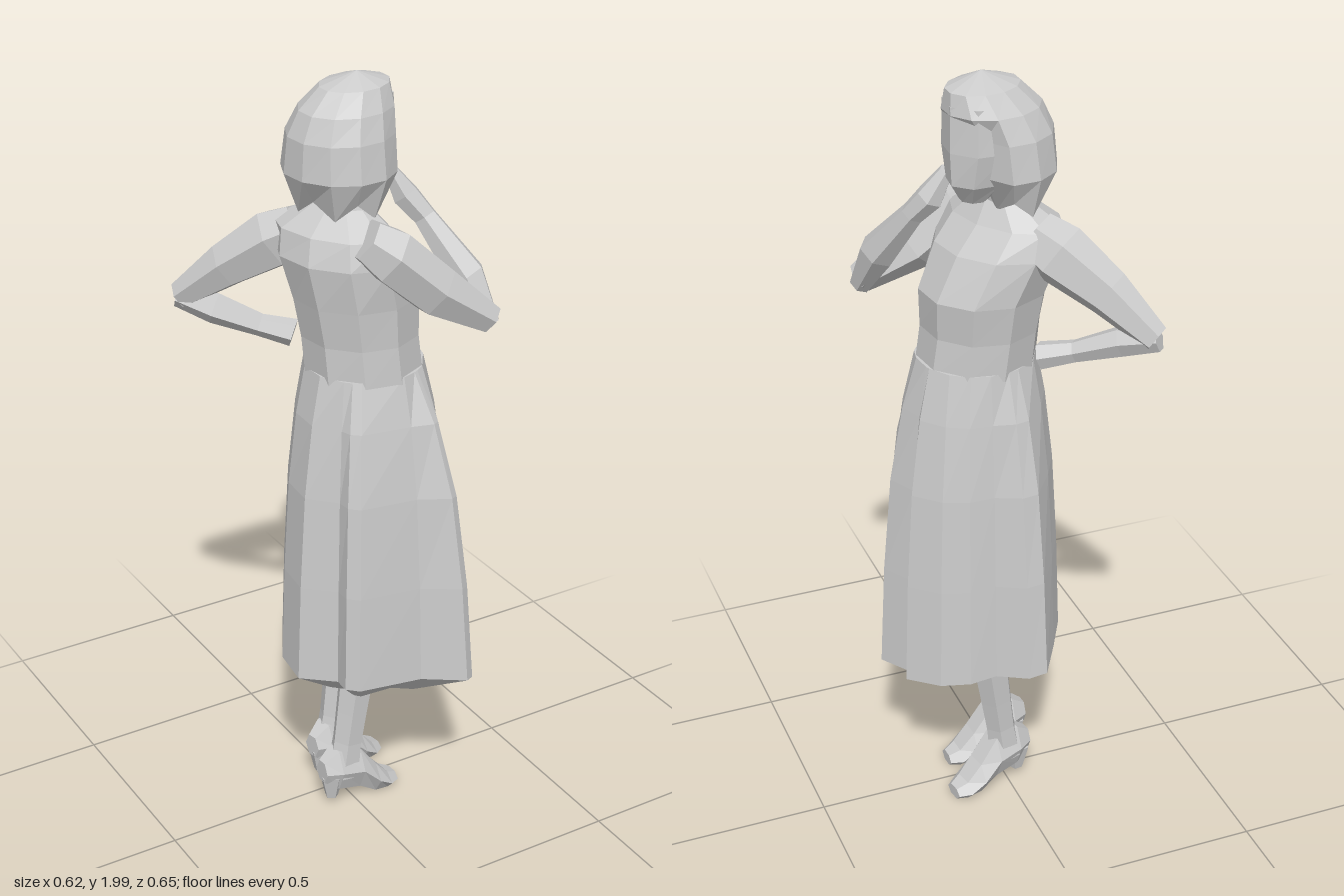
import * as THREE from 'three';

const material = new THREE.MeshStandardMaterial({ color: 0xcccccc, flatShading: true, side: THREE.DoubleSide });
const V = (x, y, z) => new THREE.Vector3(x, y, z);

// Skin a list of equal rings (counter-clockwise about the direction of travel), closing both ends
function loft(name, rings, startTip, endTip) {
  const n = rings[0].length, pos = [], index = [];
  const centre = r => r.reduce((s, p) => s.add(p), V(0, 0, 0)).divideScalar(n);
  const last = rings.length - 1;
  [...rings.flat(), startTip || centre(rings[0]), endTip || centre(rings[last])].forEach(p => pos.push(p.x, p.y, p.z));
  const s = n * rings.length, e = s + 1;
  for (let i = 0; i < n; i++) {
    const k = (i + 1) % n;
    for (let j = 0; j < last; j++) {
      const a = j * n + i, b = j * n + k;
      index.push(a, b, b + n, a, b + n, a + n);
    }
    index.push(s, k, i, e, last * n + i, last * n + k);
  }
  const g = new THREE.BufferGeometry();
  g.setAttribute('position', new THREE.Float32BufferAttribute(pos, 3));
  g.setIndex(index);
  const flat = g.toNonIndexed();
  flat.computeVertexNormals();
  const m = new THREE.Mesh(flat, material);
  m.name = name;
  return m;
}

// Horizontal ellipse: depth along the facing direction, width across it
function ellipse(y, cx, cz, depth, width, facing, n, shape = () => [1, 0]) {
  const c = Math.cos(facing), s = Math.sin(facing);
  return Array.from({ length: n }, (_, i) => {
    const t = i / n * Math.PI * 2, [k, dy] = shape(i);
    const f = depth * k * Math.cos(t), l = width * k * Math.sin(t);
    return V(cx + f * c - l * s, y + dy, cz - f * s - l * c);
  });
}

// Limb through points [x, y, z, radius]
function limb(name, pts, sides = 6) {
  const at = p => V(p[0], p[1], p[2]);
  const d = at(pts[pts.length - 1]).sub(at(pts[0])).normalize();
  const q = new THREE.Quaternion().setFromUnitVectors(V(0, 1, 0), d);
  const u = V(1, 0, 0).applyQuaternion(q), v = V(0, 0, -1).applyQuaternion(q);
  return loft(name, pts.map(p => Array.from({ length: sides }, (_, i) => {
    const t = i / sides * Math.PI * 2;
    return at(p).addScaledVector(u, p[3] * Math.cos(t)).addScaledVector(v, p[3] * Math.sin(t));
  })));
}

function makeSkirt() {
  // Pleated hem outline, x and z
  const hem = [[.31, .05], [.26, -.035], [.28, -.06], [.21, -.13], [.14, -.16], [.07, -.16], [0, -.21],
    [-.05, -.21], [-.11, -.11], [-.16, -.02], [-.175, .09], [-.1, .16], [-.11, .215], [-.085, .245],
    [.09, .255], [.185, .325], [.21, .31], [.21, .21], [.275, .11]];
  const cx = .05, cz = .03;
  const hemY = (x, z) => .44 - .1 * x + .18 * Math.max(0, z - .1);
  const mix = THREE.MathUtils.lerp;
  const rings = [];
  // Underside, rising out to the hem
  rings.push(hem.map(([x, z]) => V(mix(cx, x, .5), .375, mix(cz, z, .5))));
  for (const [h, k] of [[0, 1], [.32, .87], [.62, .66], [.85, .34], [1, 0]]) {
    rings.push(hem.map(([x, z]) => {
      const a = Math.atan2(z - cz, x - cx);
      return V(mix(cx + .15 * Math.cos(a), x, k), mix(hemY(x, z), 1.28, h), mix(cz + .148 * Math.sin(a), z, k));
    }));
  }
  return loft('skirt', rings, V(cx - .03, .36, cz));
}

function makeHead() {
  const head = new THREE.Group();
  head.name = 'head';
  const turn = .35;
  head.add(loft('face', [
    ellipse(1.70, .07, -.015, .034, .035, turn, 8),
    ellipse(1.75, .055, -.015, .084, .07, turn, 8),
    ellipse(1.83, .045, -.01, .098, .092, turn, 8),
    ellipse(1.94, .04, -.005, .1, .09, turn, 8),
  ]));
  // Bobbed hair, drawn in around the face and ragged at the ends
  const open = i => [[0, 1, 11].includes(i) ? .74 : 1, 0];
  const ragged = i => [[0, 1, 11].includes(i) ? .45 : 1, i % 2 ? -.02 : .02];
  head.add(loft('hair', [
    ellipse(1.69, -.005, 0, .09, .112, turn, 12, ragged),
    ellipse(1.77, -.002, 0, .133, .142, turn, 12, open),
    ellipse(1.86, .002, 0, .132, .13, turn, 12, open),
    ellipse(1.92, .018, 0, .124, .108, turn, 12),
    ellipse(1.97, .04, 0, .096, .075, turn, 12),
  ], V(0, 1.76, 0), V(.04, 2, .01)));
  return head;
}

// Lower leg and heeled boot; x, z place the ankle
function makeLeg(name, x, z, yaw) {
  const leg = new THREE.Group();
  leg.name = name;
  leg.add(limb('calf', [[-.01, .1, 0, .046], [.005, .2, 0, .041], [.018, .29, 0, .044], [.04, .44, 0, .05]]));
  // Cross-sections from heel to toe: x, middle height, half height, half width
  const boot = [[-.075, .125, .035, .026], [-.035, .125, .068, .045], [.03, .112, .07, .05],
    [.08, .062, .05, .052], [.12, .036, .028, .047], [.15, .03, .018, .03]];
  leg.add(loft('boot', boot.map(([sx, sy, h, w]) => Array.from({ length: 6 }, (_, i) => {
    const t = i / 6 * Math.PI * 2 + Math.PI / 6;
    return V(sx, sy + h * Math.cos(t), w * Math.sin(t));
  }))));
  const heel = new THREE.Mesh(new THREE.CylinderGeometry(.036, .018, .07, 5), material);
  heel.name = 'heel';
  heel.position.set(-.045, .072, 0);
  leg.add(heel);
  leg.position.set(x, 0, z);
  leg.rotation.y = yaw;
  return leg;
}

export function createModel() {
  const model = new THREE.Group();
  model.name = 'standingWoman';
  const facing = .44;
  model.add(makeSkirt(), makeHead());
  // Bodice, waist to collar
  model.add(loft('bodice', [
    [1.26, .05, .03, .15, .15], [1.36, .04, .025, .146, .15], [1.46, .033, .02, .158, .158],
    [1.57, -.005, .02, .14, .172], [1.635, -.025, .02, .1, .165], [1.69, -.01, .015, .05, .08],
  ].map(([y, x, z, d, w]) => ellipse(y, x, z, d, w, facing, 10))));
  model.add(limb('neck', [[-.01, 1.64, .015, .05], [.01, 1.78, .005, .045]]));
  // Left arm, hand on hip
  model.add(limb('leftUpperArm', [[-.06, 1.61, -.07, .065], [-.105, 1.575, -.12, .078], [-.195, 1.495, -.205, .06], [-.28, 1.4, -.295, .036]]));
  model.add(limb('leftForearm', [[-.285, 1.4, -.3, .03], [-.22, 1.375, -.23, .038], [-.13, 1.335, -.165, .028], [-.06, 1.315, -.12, .035]]));
  // Right arm, hand raised to the cheek
  model.add(limb('rightUpperArm', [[-.02, 1.645, .15, .055], [.03, 1.605, .18, .072], [.14, 1.505, .21, .068], [.272, 1.415, .245, .038]]));
  model.add(limb('rightForearm', [[.272, 1.4, .245, .028], [.245, 1.51, .18, .048], [.185, 1.64, .085, .03], [.15, 1.69, .055, .035], [.115, 1.755, .04, .018]]));
  model.add(makeLeg('rightLeg', -.02, .066, .05), makeLeg('leftLeg', .015, -.058, .18));
  return model;
}
